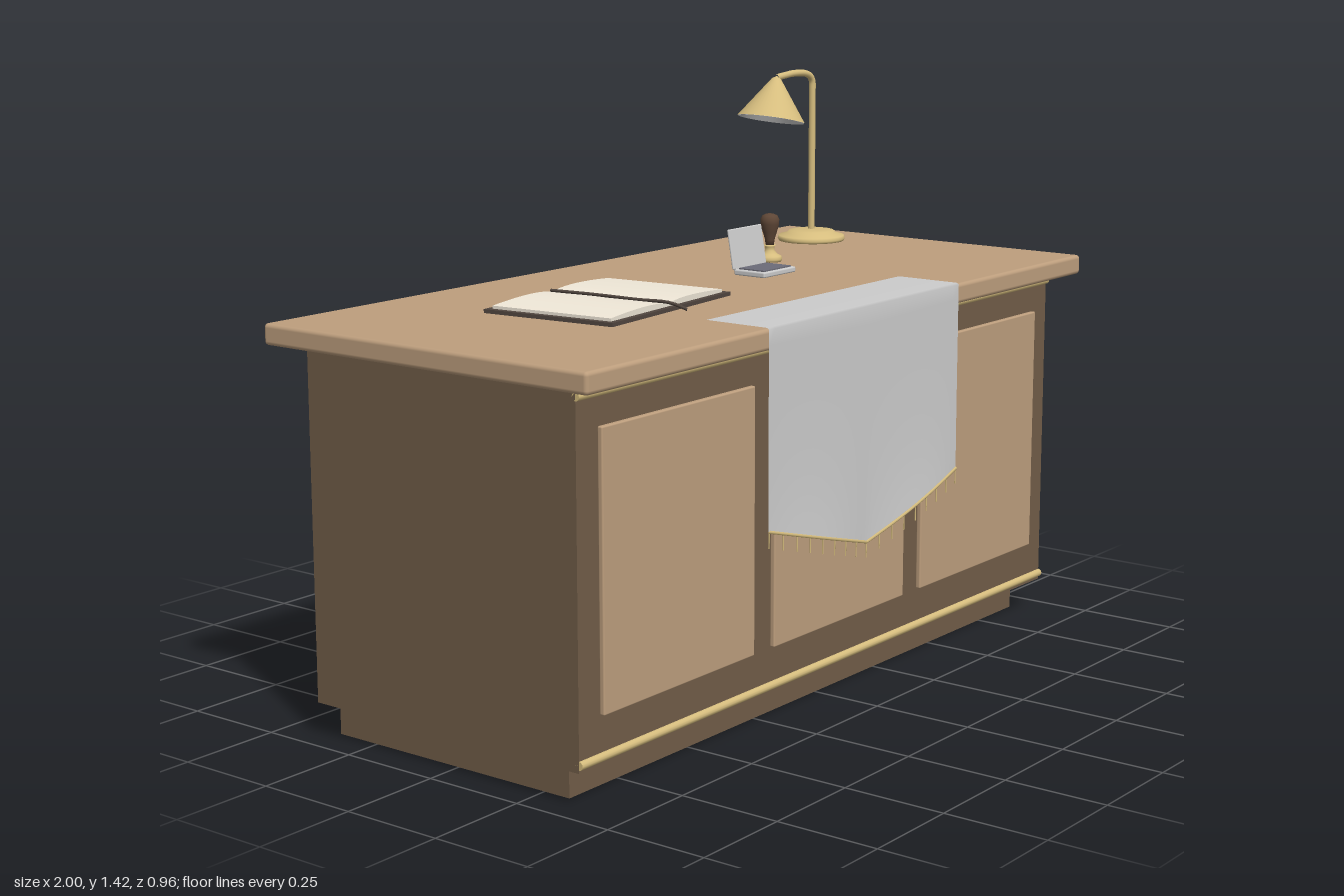
import * as THREE from 'three';
import { RoundedBoxGeometry } from 'three/addons/geometries/RoundedBoxGeometry.js';

const mat = (color, side = THREE.FrontSide) => new THREE.MeshStandardMaterial({ color, side });
const wood = mat(0xbd9e7d), dark = mat(0x715d48), gold = mat(0xd6bd7e), grey = mat(0xcccccc);
const cloth = mat(0xcccccc, THREE.DoubleSide), paper = mat(0xf0e8d8), leather = mat(0x51463f);
const inkPad = mat(0x6c6c78), walnut = mat(0x5e4636);
const TOP = 0.955;

function add(parent, name, geometry, material, x = 0, y = 0, z = 0) {
  const mesh = new THREE.Mesh(geometry, material);
  mesh.name = name;
  mesh.position.set(x, y, z);
  parent.add(mesh);
  return mesh;
}

// Box given by its limits on each axis
function box(parent, name, material, x0, x1, y0, y1, z0, z1, round = 0) {
  const s = [x1 - x0, y1 - y0, z1 - z0];
  const g = round ? new RoundedBoxGeometry(...s, 2, round) : new THREE.BoxGeometry(...s);
  return add(parent, name, g, material, (x0 + x1) / 2, (y0 + y1) / 2, (z0 + z1) / 2);
}

function lathe(points, segments = 32) {
  return new THREE.LatheGeometry(points.map(([r, y]) => new THREE.Vector2(r, y)), segments);
}

function group(parent, name, x = 0, y = 0, z = 0) {
  const g = new THREE.Group();
  g.name = name;
  g.position.set(x, y, z);
  parent.add(g);
  return g;
}

function buildDesk(root) {
  const desk = group(root, 'desk');
  box(desk, 'plinth', dark, -0.91, 0.91, 0, 0.08, -0.365, 0.32);
  box(desk, 'desktop', wood, -1, 1, 0.905, TOP, -0.48, 0.455, 0.01);
  box(desk, 'modestyPanel', dark, -0.95, 0.95, 0.08, 0.905, 0.345, 0.382);
  box(desk, 'rightSide', dark, -0.95, -0.91, 0.08, 0.905, -0.395, 0.345);
  box(desk, 'drawerPedestal', dark, 0.4, 0.95, 0.08, 0.905, -0.395, 0.345);

  // Raised front panels and brass rails
  for (const [a, b] of [[-0.88, -0.345], [-0.27, 0.27], [0.345, 0.88]])
    box(desk, 'frontPanel', wood, a, b, 0.19, 0.815, 0.38, 0.394, 0.004);
  for (const y of [0.888, 0.097])
    add(desk, 'brassRail', new THREE.CylinderGeometry(0.01, 0.01, 1.9, 12).rotateZ(Math.PI / 2), gold, 0, y, 0.382);

  // Drawers with turned knobs on the back
  const knob = lathe([[0, 0], [0.012, 0], [0.012, 0.004], [0.006, 0.008], [0.006, 0.018],
    [0.014, 0.023], [0.014, 0.03], [0.008, 0.035], [0, 0.035]], 20).rotateX(-Math.PI / 2);
  for (const [y0, y1] of [[0.095, 0.375], [0.388, 0.625], [0.637, 0.87]]) {
    box(desk, 'drawerFront', wood, 0.42, 0.93, y0, y1, -0.418, -0.394, 0.004);
    add(desk, 'drawerKnob', knob, gold, 0.675, (y0 + y1) / 2, -0.416);
  }
}

// Pointed runner lying on the desktop and hanging over its front edge
function buildRunner(root) {
  const runner = group(root, 'runner');
  const hemY = x => 0.5 - 0.105 * (1 - Math.abs(x) / 0.39);
  const hemZ = x => 0.463 + 0.011 * Math.abs(Math.sin(Math.PI * x / 0.39));
  const sheet = new THREE.PlaneGeometry(0.78, 1, 32, 16);
  const p = sheet.attributes.position;
  for (let i = 0; i < p.count; i++) {
    const x = p.getX(i), row = Math.round((0.5 - p.getY(i)) * 16);
    if (row < 3) p.setXYZ(i, x, TOP + 0.004, 0.29 + row * 0.083);
    else {
      const t = (row - 3) / 13;
      p.setXYZ(i, x, THREE.MathUtils.lerp(TOP, hemY(x), t), 0.462 + (hemZ(x) - 0.462) * t ** 4);
    }
  }
  sheet.computeVertexNormals();
  add(runner, 'runnerCloth', sheet, cloth);

  // Braided hem and fringe
  for (const s of [-1, 1]) {
    const pts = Array.from({ length: 9 }, (_, i) => {
      const x = s * 0.39 * i / 8;
      return new THREE.Vector3(x, hemY(x), hemZ(x));
    });
    add(runner, 'hem', new THREE.TubeGeometry(new THREE.CatmullRomCurve3(pts), 24, 0.004, 6), gold);
  }
  const strand = new THREE.CylinderGeometry(0.0018, 0.0018, 0.038, 6);
  for (let i = 0; i <= 16; i++) {
    const x = -0.388 + 0.776 * i / 16;
    add(runner, 'fringe', strand, gold, x, hemY(x) - 0.019, hemZ(x));
  }
}

function buildBook(root) {
  const book = group(root, 'openBook', -0.34, TOP, -0.03);
  book.rotation.y = 0.1;
  box(book, 'cover', leather, -0.25, 0.25, 0, 0.009, -0.175, 0.175);
  // Page blocks, domed towards the spine
  for (const s of [-1, 1]) {
    const shape = new THREE.Shape();
    shape.moveTo(0, 0);
    shape.lineTo(s * 0.235, 0);
    shape.lineTo(s * 0.235, 0.007);
    shape.bezierCurveTo(s * 0.15, 0.014, s * 0.04, 0.018, 0, 0.005);
    const g = new THREE.ExtrudeGeometry(shape, { depth: 0.322, bevelEnabled: false, curveSegments: 10 });
    add(book, 'pages', g, paper, 0, 0.009, -0.161);
  }
  const ribbon = new THREE.CatmullRomCurve3([[0, 0.018, -0.165], [0.004, 0.018, -0.05], [-0.003, 0.018, 0.08],
    [0.003, 0.017, 0.165], [0.012, 0.004, 0.205]].map(v => new THREE.Vector3(...v)));
  add(book, 'ribbon', new THREE.TubeGeometry(ribbon, 24, 0.004, 6), leather);
}

function buildInkBox(root) {
  const tin = group(root, 'inkBox', 0.247, TOP, 0);
  box(tin, 'tray', grey, -0.067, 0.067, 0, 0.014, -0.06, 0.033, 0.004);
  box(tin, 'pad', inkPad, -0.057, 0.057, 0.01, 0.017, -0.052, 0.025);
  const hinge = add(tin, 'hinge', new THREE.CylinderGeometry(0.004, 0.004, 0.12, 10).rotateZ(Math.PI / 2), grey, 0, 0.012, -0.062);
  const lid = box(hinge, 'lid', grey, -0.069, 0.069, 0, 0.1, -0.003, 0.003, 0.0028);
  lid.position.z = -0.008;
  lid.rotation.x = -0.17;
}

function buildStamp(root) {
  const stamp = group(root, 'sealStamp', 0.42, TOP, -0.125);
  add(stamp, 'seal', lathe([[0, 0], [0.03, 0], [0.032, 0.006], [0.03, 0.014], [0.02, 0.019],
    [0.012, 0.028], [0.012, 0.038], [0.016, 0.042], [0, 0.044]]), gold);
  add(stamp, 'handle', lathe([[0, 0.04], [0.011, 0.042], [0.012, 0.055], [0.018, 0.075], [0.024, 0.096],
    [0.024, 0.108], [0.019, 0.118], [0.01, 0.122], [0, 0.123]]), walnut);
}

function buildLamp(root) {
  const lamp = group(root, 'deskLamp', 0.8, TOP, -0.262);
  add(lamp, 'lampBase', lathe([[0, 0], [0.088, 0], [0.091, 0.006], [0.088, 0.014], [0.066, 0.02],
    [0.06, 0.027], [0.04, 0.03], [0, 0.031]], 40), gold);
  const path = new THREE.CurvePath();
  const v = (x, y) => new THREE.Vector3(x, y, 0);
  path.add(new THREE.LineCurve3(v(0, 0.02), v(0, 0.42)));
  path.add(new THREE.CubicBezierCurve3(v(0, 0.42), v(0, 0.455), v(-0.05, 0.455), v(-0.1, 0.454)));
  path.add(new THREE.LineCurve3(v(-0.1, 0.454), v(-0.166, 0.448)));
  add(lamp, 'lampArm', new THREE.TubeGeometry(path, 90, 0.009, 12), gold);

  // Tilted conical shade with a pale lining and bulb
  const head = group(lamp, 'lampHead', -0.188, 0.34, 0);
  head.rotation.z = -0.22;
  add(head, 'shade', lathe([[0.09, 0], [0.012, 0.108], [0, 0.115]], 40), gold);
  add(head, 'shadeLining', lathe([[0.088, 0], [0.01, 0.105]], 40), mat(0xcccccc, THREE.DoubleSide));
  add(head, 'bulb', new THREE.SphereGeometry(0.025, 20, 14), paper, 0, 0.035, 0);
}

export function createModel() {
  const root = new THREE.Group();
  root.name = 'writingDesk';
  for (const build of [buildDesk, buildRunner, buildBook, buildInkBox, buildStamp, buildLamp]) build(root);
  return root;
}
